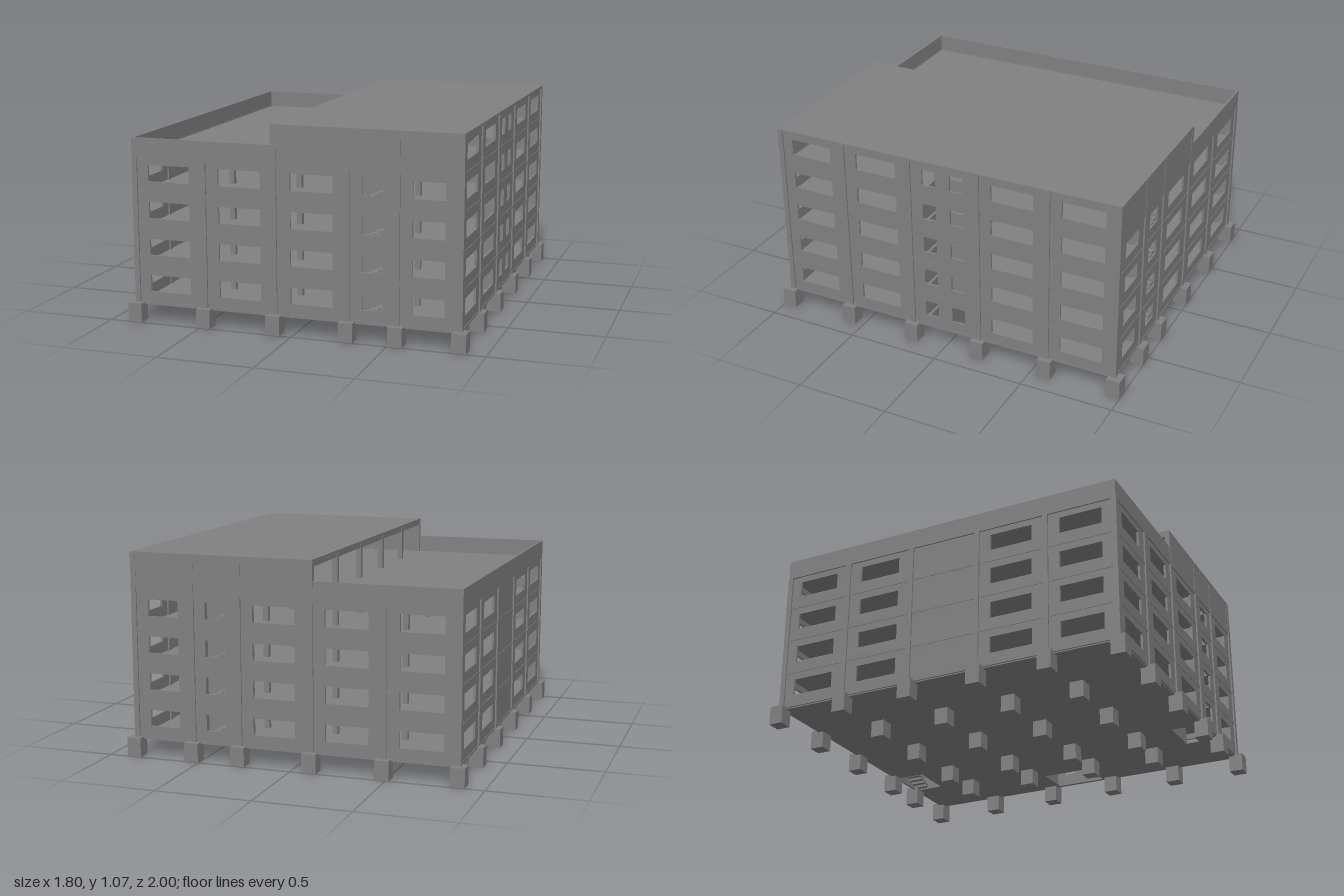
import * as THREE from 'three';

const concrete = new THREE.MeshStandardMaterial({ color: 0x808080 });
concrete.name = 'concrete grey';

// Column grid, storey levels and overall heights
const GX = [-0.863, -0.48, -0.1, 0.285, 0.54, 0.863];
const GZ = [-0.9625, -0.58, -0.194, 0.194, 0.58, 0.9625];
const BASE = 0.1, STOREY = 0.193, DECK = BASE + 4 * STOREY, TOP = 1.07;
const SILL = 0.061, HEAD = 0.148, T = 0.012;

function add(parent, name, geometry, x = 0, y = 0, z = 0) {
  const mesh = new THREE.Mesh(geometry, concrete);
  mesh.name = name;
  mesh.position.set(x, y, z);
  parent.add(mesh);
  return mesh;
}

// Box given by its minimum and maximum corners
function span(parent, name, x0, x1, y0, y1, z0, z1) {
  return add(parent, name, new THREE.BoxGeometry(x1 - x0, y1 - y0, z1 - z0),
    (x0 + x1) / 2, (y0 + y1) / 2, (z0 + z1) / 2);
}

function rect(target, x0, x1, y0, y1) {
  target.moveTo(x0, y0);
  target.lineTo(x1, y0);
  target.lineTo(x1, y1);
  target.lineTo(x0, y1);
  target.closePath();
  return target;
}

// Panel with rectangular openings [x0, x1, y0, y1]
function pierced(x0, x1, y0, y1, openings, depth) {
  const shape = rect(new THREE.Shape(), x0, x1, y0, y1);
  for (const o of openings) shape.holes.push(rect(new THREE.Path(), ...o));
  return new THREE.ExtrudeGeometry(shape, { depth, bevelEnabled: false });
}

// Repeat the window spans of one storey over several storeys
function windows(spans, storeys) {
  const list = [];
  for (let s = 0; s < storeys; s++) {
    const y = BASE + s * STOREY;
    for (const [a, b] of spans) list.push([a, b, y + SILL, y + HEAD]);
  }
  return list;
}

function stairCore(name) {
  const core = new THREE.Group();
  core.name = name;
  span(core, 'stairWall', 0.285, 0.55, BASE, 1.055, 0.766, 0.774);
  span(core, 'stairSideWall', 0.285, 0.293, BASE, 1.055, 0.766, 0.95);
  const steps = 7, run = 0.19 / steps, rise = STOREY / 2 / steps;
  for (let s = 0; s < 4; s++) {
    const y = BASE + s * STOREY;
    span(core, 'landing', 0.495, 0.54, y + STOREY / 2 - 0.01, y + STOREY / 2, 0.775, 0.95);
    for (let i = 0; i < steps; i++) {
      const up = y + (i + 1) * rise, x = 0.305 + i * run;
      span(core, 'lowerStep', x, x + run, up - 0.02, up, 0.865, 0.95);
      const high = y + STOREY - i * rise;
      span(core, 'upperStep', x, x + run, high - 0.02, high, 0.775, 0.86);
    }
  }
  return core;
}

export function createModel() {
  const model = new THREE.Group();
  model.name = 'building';

  // Footings under every column
  const footing = new THREE.BoxGeometry(0.075, BASE, 0.075);
  for (const x of GX) for (const z of GZ) add(model, 'footing', footing, x, BASE / 2, z);

  // Columns: the taller part starts at the third grid line
  GX.forEach((x, i) => GZ.forEach((z, j) => {
    const top = i >= 2 ? 1.058 : 0.865;
    const edgeX = i === 0 || i === 5, edgeZ = j === 0 || j === 5;
    const cx = edgeX ? Math.sign(x) * 0.859 : x;
    const cz = edgeZ ? Math.sign(z) * 0.953 : z;
    span(model, 'column', cx - 0.014, cx + 0.014, BASE, top, cz - 0.014, cz + 0.014);
  }));

  // Floor slabs, with stair and lift openings (shape y becomes -z)
  const shafts = [[0.3, 0.53, -0.945, -0.78], [0.3, 0.53, 0.78, 0.945], [0.65, 0.84, -0.14, 0.14]];
  for (let s = 0; s <= 4; s++) {
    const slab = add(model, 'floorSlab',
      pierced(-0.86, 0.86, -0.955, 0.955, shafts, 0.012), 0, BASE + s * STOREY - 0.012, 0);
    slab.rotation.x = -Math.PI / 2;
  }

  // Front and back walls
  const facade = windows([[-0.785, -0.56], [-0.4, -0.175], [-0.015, 0.208], [0.36, 0.467], [0.617, 0.78]], 4);
  for (const side of [1, -1]) {
    const name = side > 0 ? 'front' : 'back';
    add(model, name + 'Wall', pierced(-0.86, 0.86, 0.097, DECK, facade, T), 0, 0, side * 0.953 - T / 2);
    const z = side * 0.959;
    span(model, name + 'Parapet', -0.871, -0.1, 0.86, 0.965, z - 0.006, z + 0.006);
    span(model, name + 'UpperWall', -0.112, 0.87, 0.86, 1.06, z - 0.006, z + 0.006);
  }

  // Side walls: right is one storey taller, left has a blank middle bay
  const outer = [[-0.885, -0.654], [-0.502, -0.27], [0.27, 0.502], [0.654, 0.885]];
  const middle = [[-0.116, -0.04], [0.04, 0.116]];
  const east = add(model, 'tallSideWall',
    pierced(-0.955, 0.955, 0.097, 1.06, windows([...outer, ...middle], 5), T), 0.853, 0, 0);
  east.rotation.y = Math.PI / 2;
  const west = add(model, 'lowSideWall',
    pierced(-0.955, 0.955, 0.097, DECK, windows(outer, 4), T), -0.865, 0, 0);
  west.rotation.y = Math.PI / 2;
  span(model, 'sideParapet', -0.873, -0.861, 0.86, 0.965, -0.965, 0.965);

  // Slim beams marking the storeys around the outside
  for (let s = 0; s <= 4; s++) {
    const y = BASE + s * STOREY;
    for (const side of [1, -1]) {
      const z = side * 0.957, x = side * 0.863;
      span(model, 'facadeBeam', -0.865, 0.865, y - 0.006, y + 0.006, z - 0.005, z + 0.005);
      span(model, 'sideBeam', x - 0.005, x + 0.005, y - 0.006, y + 0.006, -0.955, 0.955);
    }
  }

  // Upper roof with its edge beam over the open side
  span(model, 'upperRoof', -0.112, 0.873, 1.056, TOP, -0.966, 0.966);
  span(model, 'roofEdgeBeam', -0.112, -0.09, 1.035, 1.056, -0.955, 0.955);

  // Stair cores at front and back
  model.add(stairCore('frontStairs'));
  const backStairs = stairCore('backStairs');
  backStairs.rotation.y = Math.PI;
  backStairs.position.x = 0.83;
  model.add(backStairs);

  // Lift shaft walls in the middle of the tall side
  for (const z of [-0.16, 0.16]) span(model, 'shaftWall', 0.6, 0.85, BASE, DECK, z - 0.005, z + 0.005);
  span(model, 'shaftBackWall', 0.6, 0.61, BASE, DECK, -0.16, 0.16);

  return model;
}
